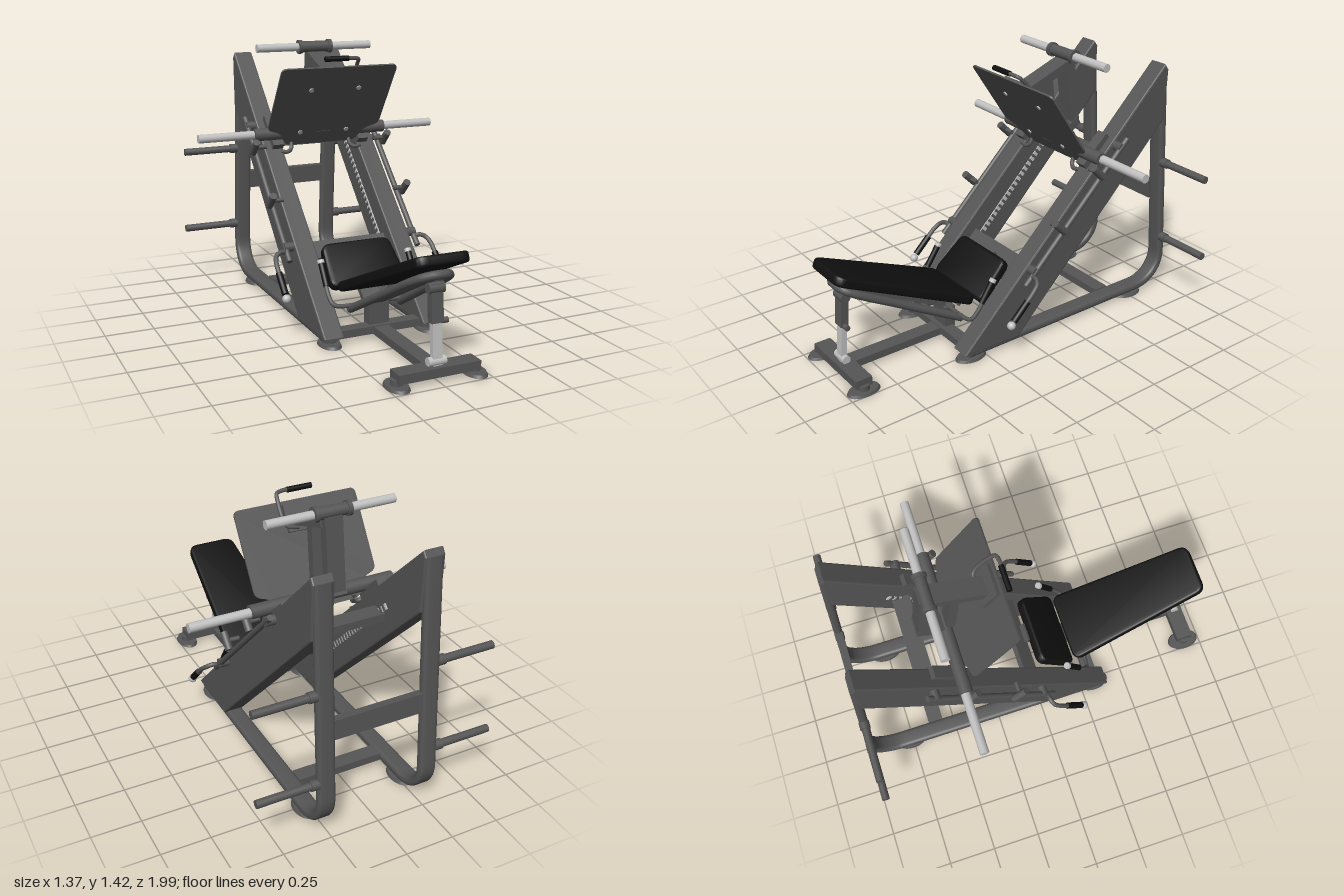
import * as THREE from 'three';
import { toCreasedNormals } from 'three/addons/utils/BufferGeometryUtils.js';

const V = (x, y, z) => new THREE.Vector3(x, y, z);

export function createModel() {
  const model = new THREE.Group();
  const mat = (name, color) => Object.assign(new THREE.MeshStandardMaterial({ color }), { name });
  const frame = mat('frame grey', 0x555555);
  const chrome = mat('light steel', 0xc0c0c0);
  const black = mat('black vinyl', 0x101010);

  const add = (name, geo, m, parent = model) => {
    const mesh = new THREE.Mesh(geo, m);
    mesh.name = name;
    parent.add(mesh);
    return mesh;
  };
  // Round bar between two points
  const rod = (name, a, b, r, m, sides = 20) => {
    const mesh = add(name, new THREE.CylinderGeometry(r, r, a.distanceTo(b), sides), m);
    mesh.position.copy(a).lerp(b, 0.5);
    mesh.quaternion.setFromUnitVectors(V(0, 1, 0), b.clone().sub(a).normalize());
    return mesh;
  };
  // Rectangular bar in the y-z plane, from [y, z] to [y, z]
  const beam = (name, a, b, w, t, m, x = 0) => {
    const dy = b[0] - a[0], dz = b[1] - a[1];
    const mesh = add(name, new THREE.BoxGeometry(w, Math.hypot(dy, dz), t), m);
    mesh.position.set(x, (a[0] + b[0]) / 2, (a[1] + b[1]) / 2);
    mesh.rotation.x = Math.atan2(dz, dy);
    return mesh;
  };
  const tube = (name, pts, r, m, closed = false) =>
    add(name, new THREE.TubeGeometry(
      new THREE.CatmullRomCurve3(pts, closed, 'centripetal'), 48, r, 14, closed), m);
  // Polygon with softened corners
  const rounded = (pts, r) => {
    const p = pts.map(([x, y]) => new THREE.Vector2(x, y)), s = new THREE.Shape();
    p.forEach((c, i) => {
      const prev = p[(i + p.length - 1) % p.length], next = p[(i + 1) % p.length];
      const u = prev.clone().sub(c).setLength(r).add(c), v = next.clone().sub(c).setLength(r).add(c);
      if (i) s.lineTo(u.x, u.y); else s.moveTo(u.x, u.y);
      s.quadraticCurveTo(c.x, c.y, v.x, v.y);
    });
    return s.closePath();
  };
  // Flat board whose shape runs from [y, z] to [y, z]
  const board = (name, shape, depth, bevel, a, b, m) => {
    const geo = new THREE.ExtrudeGeometry(shape, {
      depth: depth - 2 * bevel, bevelEnabled: bevel > 0, bevelSize: bevel, bevelOffset: -bevel,
      bevelThickness: bevel, bevelSegments: 3, curveSegments: 8 });
    geo.translate(0, 0, -depth / 2 + bevel);
    const mesh = add(name, toCreasedNormals(geo, 0.6), m);
    mesh.position.set(0, a[0], a[1]);
    mesh.rotation.x = Math.atan2(b[1] - a[1], b[0] - a[0]);
    return mesh;
  };

  // Side frames
  const railShape = new THREE.Shape([[0.395, 0.055], [0.06, 0.045], [-0.905, 1.03], [-0.912, 1.3], [-0.89, 1.33]]
    .map(([z, y]) => new THREE.Vector2(z, y)));
  const railGeo = new THREE.ExtrudeGeometry(railShape, {
    depth: 0.09, bevelSize: 0.008, bevelOffset: -0.008, bevelThickness: 0.008, bevelSegments: 2 });
  railGeo.translate(0, 0, -0.045).rotateY(-Math.PI / 2);

  const path = new THREE.CurvePath();
  path.add(new THREE.LineCurve3(V(0, 1.3, -0.895), V(0, 0.22, -0.972)));
  path.add(new THREE.CubicBezierCurve3(V(0, 0.22, -0.972), V(0, 0.12, -0.98), V(0, 0.045, -0.9), V(0, 0.045, -0.8)));
  path.add(new THREE.LineCurve3(V(0, 0.045, -0.8), V(0, 0.045, 0.36)));
  const oval = rounded([[-0.045, -0.022], [0.045, -0.022], [0.045, 0.022], [-0.045, 0.022]], 0.02);
  const postGeo = toCreasedNormals(
    new THREE.ExtrudeGeometry(oval, { steps: 90, extrudePath: path, curveSegments: 5 }), 0.6);

  const foot = (x, z) => {
    const pad = add('foot', new THREE.CylinderGeometry(0.9, 1, 0.014, 28), black);
    pad.material = frame;
    pad.scale.set(0.055, 1, 0.088);
    pad.position.set(x, 0.007, z);
    rod('footStem', V(x, 0.01, z), V(x, 0.04, z), 0.03, frame);
  };

  for (const s of [-1, 1]) {
    add('slopedRail', railGeo, frame).position.x = s * 0.272;
    add('rearPostAndBase', postGeo, frame).position.x = s * 0.272;
    foot(s * 0.27, 0.325);
    foot(s * 0.27, -0.76);
    foot(s * 0.2, 0.91);

    // Toothed strip on the inner rail face
    beam('rackStrip', [0.35, -0.07], [0.93, -0.64], 0.006, 0.03, chrome, s * 0.214);
    for (let i = 0; i < 24; i++) {
      const k = i / 23;
      beam('rackTooth', [0.36 + 0.55 * k, -0.08 - 0.54 * k], [0.37 + 0.55 * k, -0.09 - 0.54 * k],
        0.01, 0.03, frame, s * 0.212);
    }

    // Plate storage horns
    for (const [y, z] of [[0.77, -0.932], [0.312, -0.965]]) {
      rod('storageHorn', V(s * 0.3, y, z), V(s * 0.62, y, z), 0.02, frame);
      rod('hornCollar', V(s * 0.31, y, z), V(s * 0.35, y, z), 0.026, frame);
    }

    // Safety lever with grip
    rod('leverRod', V(s * 0.365, 1, -0.6), V(s * 0.365, 0.36, 0.05), 0.015, frame);
    tube('leverArm', [V(s * 0.365, 0.4, 0.01), V(s * 0.4, 0.405, 0.015), V(s * 0.43, 0.39, 0.03),
      V(s * 0.442, 0.36, 0.065), V(s * 0.443, 0.3, 0.125)], 0.012, frame);
    rod('leverGrip', V(s * 0.443, 0.325, 0.1), V(s * 0.443, 0.24, 0.185), 0.017, black);
    const knob = add('leverKnob', new THREE.SphereGeometry(0.022, 18, 12), chrome);
    knob.position.set(s * 0.443, 0.222, 0.2);
    for (const [y, z] of [[0.635, -0.148], [0.872, -0.39]]) {
      rod('leverStop', V(s * 0.386, y - 0.033, z - 0.033), V(s * 0.386, y + 0.033, z + 0.033), 0.02, frame);
      rod('stopPin', V(s * 0.32, y, z), V(s * 0.386, y, z), 0.012, frame);
    }
    for (const [y, z] of [[0.96, -0.56], [0.42, -0.01]])
      rod('leverMount', V(s * 0.31, y, z), V(s * 0.375, y, z), 0.024, frame);

    // Seat handles
    tube('seatHandle', [V(0, 0.18, 0.3), V(s * 0.2, 0.18, 0.3), V(s * 0.232, 0.19, 0.292),
      V(s * 0.245, 0.225, 0.267), V(s * 0.245, 0.37, 0.172)], 0.011, frame);
    rod('seatGrip', V(s * 0.245, 0.27, 0.238), V(s * 0.245, 0.37, 0.172), 0.016, black);
    rod('gripCap', V(s * 0.245, 0.37, 0.172), V(s * 0.245, 0.385, 0.162), 0.018, chrome);

    // Carriage shoes and lower hooks
    beam('carriageShoe', [0.86, -0.4], [1.0, -0.55], 0.06, 0.05, frame, s * 0.25);
    tube('carriageHook', [V(s * 0.17, 0.9, -0.42), V(s * 0.175, 0.85, -0.4), V(s * 0.2, 0.835, -0.39),
      V(s * 0.235, 0.84, -0.395)], 0.011, frame);
  }

  // Cross members and central beam
  const cross = (name, w, h, d, y, z, tilt = 0) => {
    const c = add(name, new THREE.BoxGeometry(w, h, d), frame);
    c.position.set(0, y, z);
    c.rotation.x = tilt;
  };
  cross('rearCrossbar', 0.46, 0.1, 0.04, 0.58, -0.945, 0.07);
  cross('upperCrossbar', 0.46, 0.04, 0.09, 0.86, -0.58);
  cross('seatCrossbar', 0.46, 0.03, 0.1, 0.37, -0.04, 0.78);
  cross('frontCrossbar', 0.46, 0.04, 0.07, 0.05, 0.32);
  cross('baseCrossbar', 0.46, 0.04, 0.08, 0.045, -0.6);
  cross('frontFootBar', 0.42, 0.045, 0.09, 0.05, 0.91);
  cross('centralBeam', 0.08, 0.04, 0.6, 0.045, 0.61);
  cross('seatBracket', 0.11, 0.12, 0.06, 0.12, 0.3);

  // Backrest, its U-shaped tube and the adjustable post
  board('backrestPad', rounded([[-0.195, 0], [0.195, 0], [0.135, 0.81], [-0.135, 0.81]], 0.05),
    0.05, 0.012, [0.255, 0.235], [0.585, 0.97], black);
  tube('backrestTube', [V(-0.14, 0.155, 0.29), V(-0.11, 0.335, 0.62), V(-0.085, 0.465, 0.86), V(-0.05, 0.495, 0.915),
    V(0.05, 0.495, 0.915), V(0.085, 0.465, 0.86), V(0.11, 0.335, 0.62), V(0.14, 0.155, 0.29)], 0.021, frame);
  beam('backrestSpine', [0.19, 0.31], [0.48, 0.87], 0.06, 0.035, frame);
  beam('postSleeve', [0.27, 0.9], [0.45, 0.888], 0.06, 0.04, frame);
  beam('innerPost', [0.07, 0.913], [0.29, 0.898], 0.048, 0.03, chrome);
  rod('postPivot', V(-0.04, 0.43, 0.89), V(0.04, 0.43, 0.89), 0.026, frame);
  rod('postFootPivot', V(-0.045, 0.09, 0.91), V(0.045, 0.09, 0.91), 0.022, chrome);
  rod('adjustPin', V(0.02, 0.275, 0.9), V(0.06, 0.275, 0.9), 0.014, frame);

  // Seat
  board('seatPad', rounded([[-0.21, 0], [0.21, 0], [0.19, 0.25], [-0.19, 0.25]], 0.045),
    0.055, 0.012, [0.24, 0.21], [0.415, 0.025], black);
  beam('seatSupport', [0.17, 0.25], [0.4, 0], 0.1, 0.03, frame);

  // Foot plate with bolts
  const plateFrom = [0.87, -0.42], plateTo = [1.31, -0.125];
  const plate = board('footPlate', rounded([[-0.2, 0], [0.2, 0], [0.25, 0.09], [0.325, 0.115], [0.325, 0.53],
    [-0.325, 0.53], [-0.325, 0.115], [-0.25, 0.09]], 0.03), 0.01, 0, plateFrom, plateTo, frame);
  for (const x of [-0.135, 0.135]) for (const y of [0.09, 0.385]) {
    const bolt = add('plateBolt', new THREE.CylinderGeometry(0.013, 0.013, 0.008, 16), chrome, plate);
    bolt.rotation.x = Math.PI / 2;
    bolt.position.set(x, y, 0.006);
  }

  // Carriage arms
  beam('plateMount', [1.3, -0.145], [1.19, -0.22], 0.16, 0.025, frame);
  beam('upperArm', [1.235, -0.19], [1.34, -0.47], 0.1, 0.045, frame);
  beam('rearStrut', [1.37, -0.482], [1.01, -0.53], 0.09, 0.05, frame);
  beam('frontStrut', [1.29, -0.345], [0.94, -0.39], 0.08, 0.045, frame);
  beam('lowerLink', [0.93, -0.4], [1.02, -0.55], 0.1, 0.045, frame);

  // Loading bars
  rod('lowerBarCore', V(-0.38, 0.935, -0.415), V(0.38, 0.935, -0.415), 0.034, frame);
  rod('lowerLoadingBar', V(-0.685, 0.935, -0.42), V(0.685, 0.935, -0.42), 0.023, chrome);
  rod('upperLoadingBar', V(-0.335, 1.387, -0.472), V(0.325, 1.387, -0.472), 0.022, chrome);
  rod('upperBarSleeve', V(-0.09, 1.387, -0.472), V(0.08, 1.387, -0.472), 0.03, frame);
  for (const x of [-0.09, 0.08])
    rod('sleeveCollar', V(x - 0.01, 1.387, -0.472), V(x + 0.01, 1.387, -0.472), 0.037, frame);

  // Release handle behind the plate
  tube('releaseHandle', [V(-0.1, 1.355, -0.1), V(0.06, 1.355, -0.1), V(0.088, 1.35, -0.108),
    V(0.096, 1.33, -0.13), V(0.09, 1.23, -0.22), V(0.03, 1.215, -0.23)], 0.01, frame);
  rod('releaseGrip', V(-0.1, 1.355, -0.1), V(0.03, 1.355, -0.1), 0.014, black);

  return model;
}
